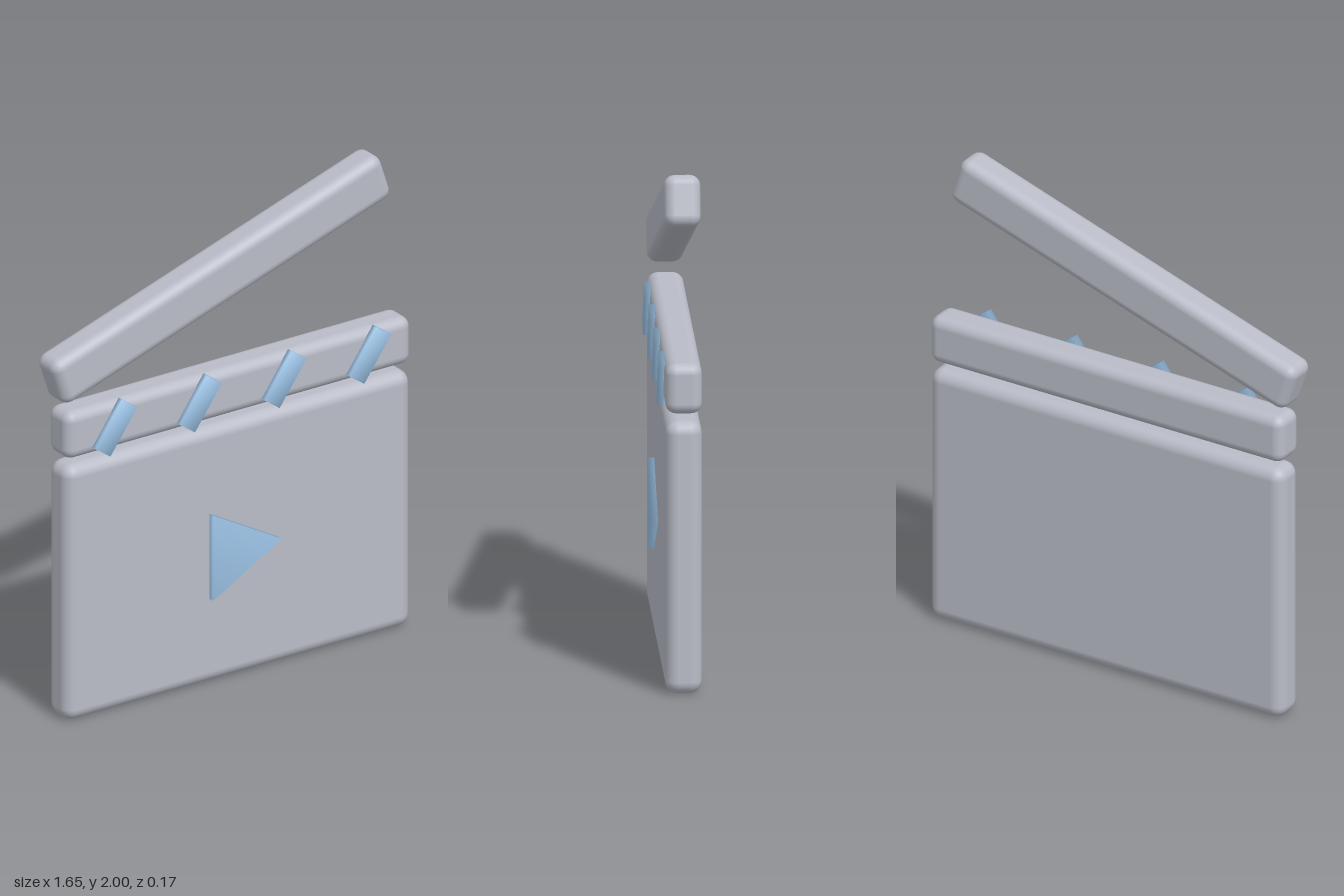
import * as THREE from 'three';
import { RoundedBoxGeometry } from 'three/addons/geometries/RoundedBoxGeometry.js';
import { mergeVertices } from 'three/addons/utils/BufferGeometryUtils.js';

const grey = new THREE.MeshStandardMaterial({ color: 0xb9bcc7 });
grey.name = 'soft grey';
const blue = new THREE.MeshStandardMaterial({ color: 0x9cc3e6 });
blue.name = 'light blue';

const DEPTH = 0.14;
const MID_Z = -0.012;

// Rounded slab centred at (x, y)
function slab(name, w, h, x, y, radius, tilt = 0) {
  const mesh = new THREE.Mesh(new RoundedBoxGeometry(w, h, DEPTH, 3, radius), grey);
  mesh.name = name;
  mesh.position.set(x, y, MID_Z);
  mesh.rotation.z = tilt;
  return mesh;
}

// Weld all corners so the shading runs smoothly across the edges
function smooth(geometry) {
  geometry.deleteAttribute('normal');
  geometry.deleteAttribute('uv');
  const welded = mergeVertices(geometry, 1e-4);
  welded.computeVertexNormals();
  return welded;
}

export function createModel() {
  const group = new THREE.Group();
  group.name = 'clapperboard';

  // Board and its two sticks
  group.add(slab('board', 1.6, 1.068, 0.025, 0.536, 0.05));
  group.add(slab('lowerStick', 1.6, 0.197, 0.025, 1.197, 0.042));
  group.add(slab('upperStick', 1.6, 0.2, -0.048, 1.667, 0.042, 0.316));

  // Slanted stripes on the lower stick
  const stripeGeometry = smooth(new THREE.BoxGeometry(0.085, 0.215, 0.024));
  for (let i = 0; i < 4; i++) {
    const stripe = new THREE.Mesh(stripeGeometry, blue);
    stripe.name = 'stripe' + (i + 1);
    stripe.position.set(-0.563 + i * 0.392, 1.197, 0.067);
    stripe.rotation.z = -0.62;
    group.add(stripe);
  }

  // Play triangle on the board
  const outline = new THREE.Shape([
    new THREE.Vector2(-0.118, 0.36),
    new THREE.Vector2(0.2, 0.538),
    new THREE.Vector2(-0.118, 0.716),
  ]);
  const triangle = new THREE.Mesh(
    smooth(new THREE.ExtrudeGeometry(outline, { depth: 0.03, bevelEnabled: false })),
    blue
  );
  triangle.name = 'playTriangle';
  triangle.position.z = 0.054;
  group.add(triangle);

  return group;
}
